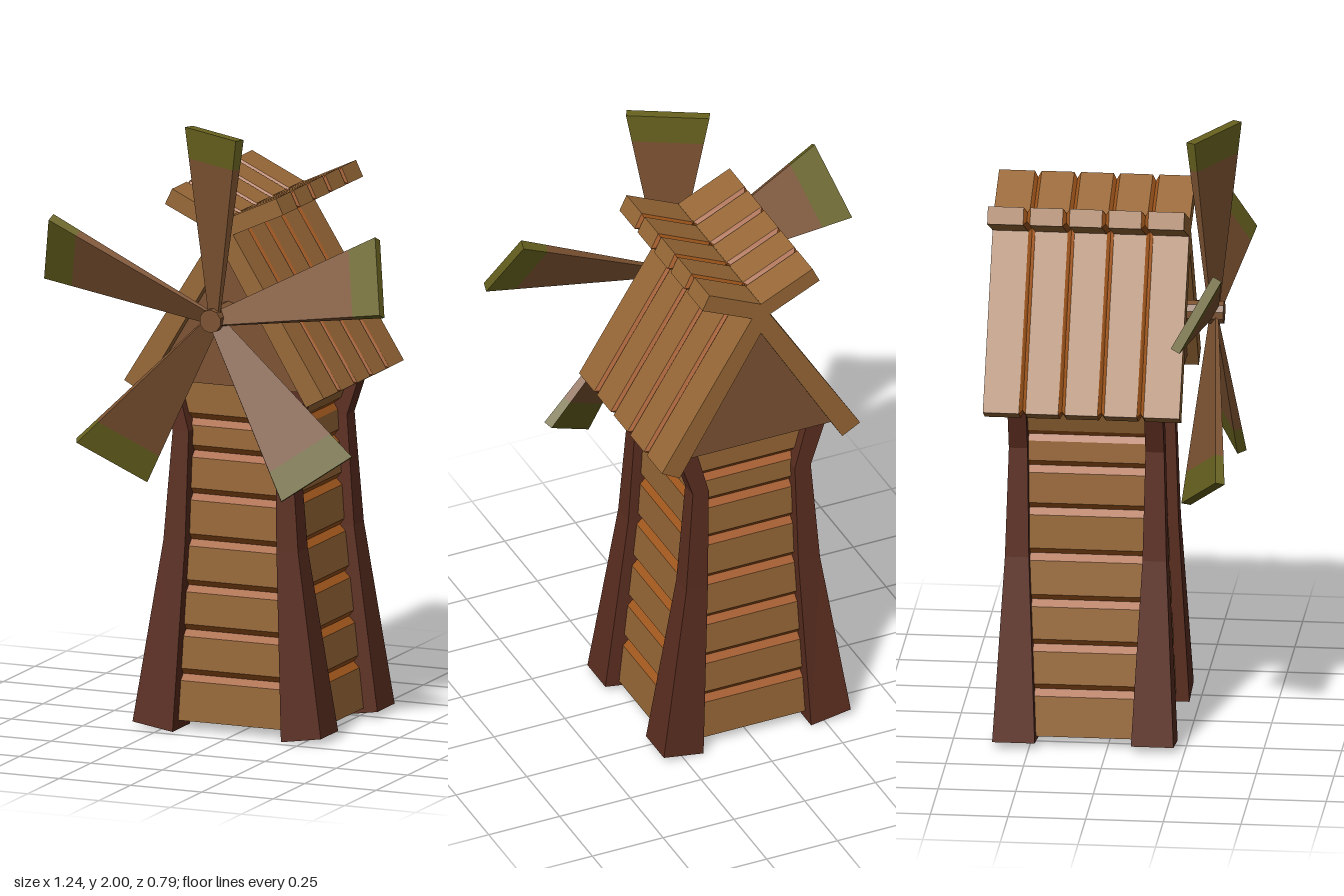
import * as THREE from 'three';

const CX = -0.01, CZ = -0.075; // tower axis

const mat = (color) => new THREE.MeshStandardMaterial({ color, flatShading: true });
const PLANK = mat(0x986837), GROOVE = mat(0xa0561c), LEG = mat(0x5c2e20);
const WALL = mat(0x7d5332), TIP = mat(0x68621f);

// Closed solid through a list of rings with equal point counts
function loft(rings) {
  const tris = [], n = rings[0].length;
  for (let k = 0; k + 1 < rings.length; k++) {
    const a = rings[k], b = rings[k + 1];
    for (let i = 0; i < n; i++) {
      const j = (i + 1) % n;
      tris.push([a[i], a[j], b[j]], [a[i], b[j], b[i]]);
    }
  }
  const first = rings[0], last = rings[rings.length - 1];
  for (let i = 1; i + 1 < n; i++) {
    tris.push([first[0], first[i + 1], first[i]], [last[0], last[i], last[i + 1]]);
  }
  // turn the faces outward if the rings ran the other way
  const c = first[0], v = () => new THREE.Vector3();
  const volume = tris.reduce((s, [p, q, r]) => s + v().subVectors(p, c)
    .dot(v().subVectors(q, c).cross(v().subVectors(r, c))), 0);
  if (volume < 0) tris.forEach((t) => t.reverse());
  const g = new THREE.BufferGeometry().setFromPoints(tris.flat());
  g.computeVertexNormals();
  return g;
}

function add(parent, name, geometry, material) {
  const m = new THREE.Mesh(geometry, material);
  m.name = name;
  parent.add(m);
  return m;
}

// Value at y on a broken line of [y, value] points
function along(pts, y) {
  for (let i = 1; i < pts.length; i++) {
    const [y0, a] = pts[i - 1], [y1, b] = pts[i];
    if (y <= y1 || i === pts.length - 1) return a + (b - a) * (y - y0) / (y1 - y0);
  }
}

// Pull a cross-section's corners inward by d
function inset(pts, d) {
  const n = pts.length;
  return pts.map((p, i) => {
    const q = p.clone();
    for (const o of [pts[(i + 1) % n], pts[(i + n - 1) % n]]) {
      q.addScaledVector(o.clone().sub(p).normalize(), d);
    }
    return q;
  });
}

function buildTower() {
  const tower = new THREE.Group();
  tower.name = 'tower';
  const hx = [[0, 0.285], [0.65, 0.2], [1.0, 0.175], [1.17, 0.235]];
  const hz = [[0, 0.25], [0.65, 0.225], [1.0, 0.215], [1.17, 0.215]];
  const ring = (y, d = 0) => {
    const x = along(hx, y) - d, z = along(hz, y) - d;
    return [[x, z], [x, -z], [-x, -z], [-x, z]]
      .map(([a, b]) => new THREE.Vector3(CX + a, y, CZ + b));
  };
  // Wall boards separated by V grooves
  const cuts = [0.18, 0.325, 0.47, 0.62, 0.77, 0.91, 1.015];
  const w = 0.02;
  let y0 = 0.03;
  for (const y of [...cuts, 1.17 + w]) {
    add(tower, 'wallBoard', loft([ring(y0), ring(y - w)]), PLANK);
    if (y < 1.1) add(tower, 'wallGroove', loft([ring(y - w), ring(y, 0.018), ring(y + w)]), GROOVE);
    y0 = y + w;
  }
  // Corner legs: y, outer x, inner x, outer z, inner z
  const path = [
    [0, 0.33, 0.19, 0.292, 0.155],
    [0.62, 0.236, 0.16, 0.26, 0.183],
    [0.98, 0.208, 0.152, 0.25, 0.19],
    [1.16, 0.268, 0.2, 0.25, 0.19],
  ];
  for (const sx of [1, -1]) for (const sz of [1, -1]) {
    const rings = path.map(([y, ox, ix, oz, iz]) => {
      const lift = y === 0 ? 0.022 : 0;
      return [[ox, oz, lift], [ox, iz, lift], [ix, iz, 0], [ix, oz, 0]]
        .map(([x, z, l]) => new THREE.Vector3(CX + sx * x, y + l, CZ + sz * z));
    });
    add(tower, 'cornerLeg', loft(rings), LEG);
  }
  return tower;
}

function buildRoof() {
  const roof = new THREE.Group();
  roof.name = 'roof';
  const back = -0.395, front = 0.238, count = 5, w = 0.011;
  const step = (front - back) / count;
  const sections = {
    roofSlope: [[0.35, 1.145], [0, 1.705], [0, 1.59], [0.287, 1.11]],
    ridgeCap: [[0.182, 1.787], [0, 1.702], [0, 1.64], [0.207, 1.735]],
  };
  for (const [name, pts] of Object.entries(sections)) for (const s of [1, -1]) {
    const shape = pts.map(([x, y]) => new THREE.Vector3(CX + s * x, y, 0));
    const narrow = inset(shape, 0.014);
    const at = (sec, z) => sec.map((p) => p.clone().setZ(z));
    for (let i = 0; i < count; i++) {
      const z0 = back + i * step, z1 = z0 + step;
      const a = i ? z0 + w : z0, b = i < count - 1 ? z1 - w : z1;
      add(roof, name + 'Board', loft([at(shape, a), at(shape, b)]), PLANK);
      if (i < count - 1) {
        add(roof, name + 'Groove', loft([at(shape, b), at(narrow, z1), at(shape, z1 + w)]), GROOVE);
      }
    }
  }
  // Gable block filling the space under the slopes
  const gable = (z) => [[0.28, 1.15], [0, 1.63], [-0.28, 1.15]]
    .map(([x, y]) => new THREE.Vector3(CX + x, y, z));
  add(roof, 'gable', loft([gable(-0.36), gable(0.203)]), WALL);
  return roof;
}

function buildSails() {
  const sails = new THREE.Group();
  sails.name = 'sails';
  sails.position.set(CX, 1.39, 0.315);
  const hub = add(sails, 'axle', new THREE.CylinderGeometry(0.038, 0.038, 0.2, 10), WALL);
  hub.rotation.x = Math.PI / 2;
  hub.position.z = -0.067;
  // Tapered pitched blade with a coloured end
  const ring = (r) => {
    const h = 0.022 + 0.112 * r / 0.61, t = 0.005 + 0.011 * r / 0.61;
    return [[h, t], [h, -t], [-h, -t], [-h, t]].map(([x, z]) => new THREE.Vector3(x, r, z));
  };
  const bladeGeo = loft([ring(0), ring(0.51)]);
  const tipGeo = loft([ring(0.51), ring(0.61)]);
  for (let i = 0; i < 5; i++) {
    const arm = new THREE.Group();
    arm.name = 'sail';
    arm.rotation.z = i * Math.PI * 2 / 5;
    const pitch = new THREE.Group();
    pitch.name = 'sailBlade';
    pitch.rotation.y = -0.5;
    add(pitch, 'blade', bladeGeo, WALL);
    add(pitch, 'bladeTip', tipGeo, TIP);
    arm.add(pitch);
    sails.add(arm);
  }
  return sails;
}

export function createModel() {
  const model = new THREE.Group();
  model.name = 'windmill';
  model.add(buildTower(), buildRoof(), buildSails());
  return model;
}
